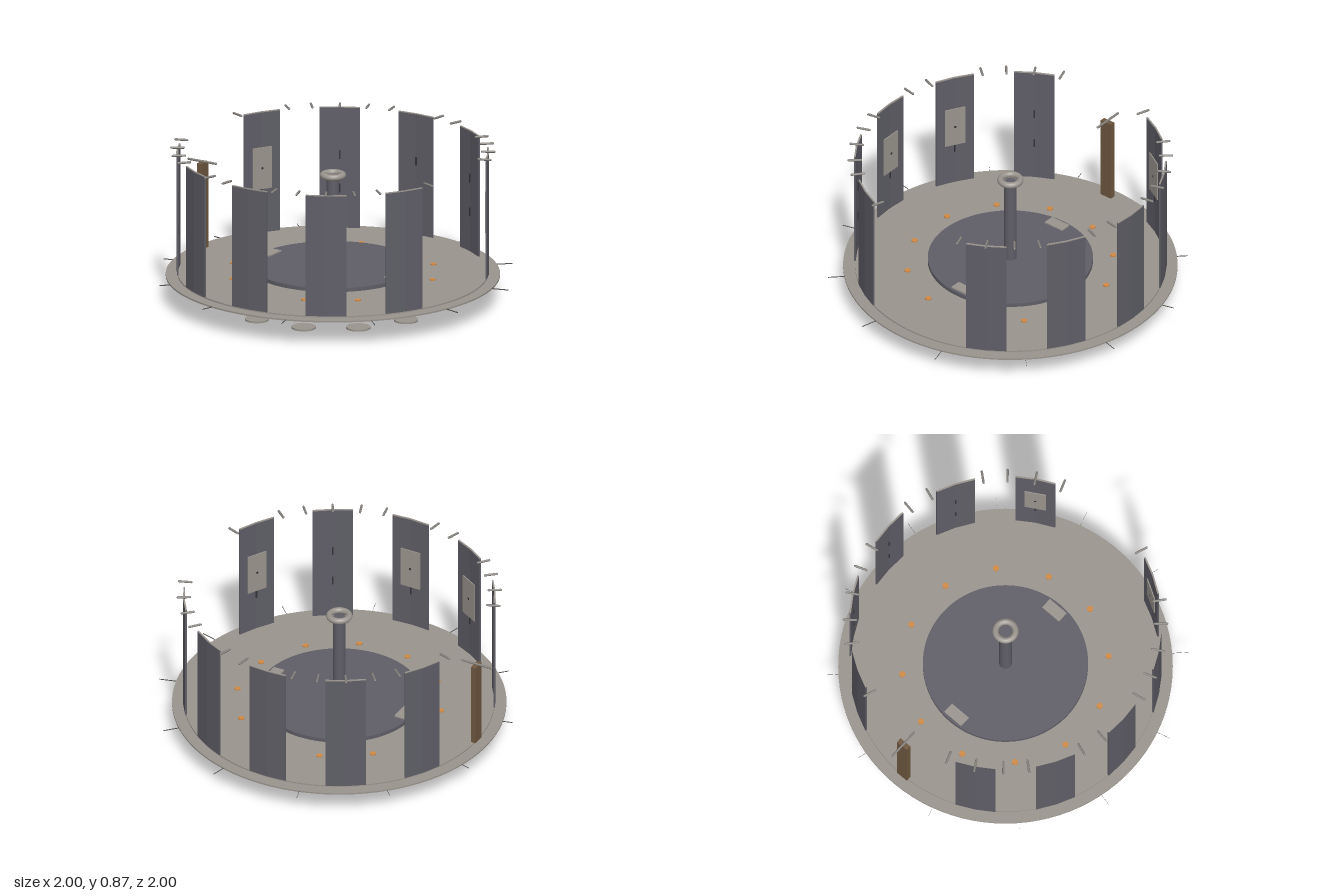
import * as THREE from 'three';

const mat = (name, color, side = THREE.FrontSide) => {
  const m = new THREE.MeshStandardMaterial({ color, side });
  m.name = name;
  return m;
};

export function createModel() {
  const stone = mat('warm grey', 0x9a948d);
  const slate = mat('slate grey', 0x5f5e67);
  const steel = mat('rod grey', 0x85817c);
  const dark = mat('dark grey', 0x333338);
  const copper = mat('copper', 0xd08a45);
  const wood = mat('brown wood', 0x6e573f);
  const blade = mat('spike grey', 0x55534f, THREE.DoubleSide);

  const model = new THREE.Group();
  model.name = 'carousel';
  const body = new THREE.Group();
  body.name = 'body';
  body.position.set(-0.005, 0, -0.02);
  model.add(body);

  const add = (parent, name, geo, material, x = 0, y = 0, z = 0) => {
    const mesh = new THREE.Mesh(geo, material);
    mesh.name = name;
    mesh.position.set(x, y, z);
    parent.add(mesh);
    return mesh;
  };
  // Upright disc or cylinder between two heights
  const disc = (parent, name, r, y0, y1, material, x = 0, z = 0, sides = 64) =>
    add(parent, name, new THREE.CylinderGeometry(r, r, y1 - y0, sides), material, x, (y0 + y1) / 2, z);
  // Group turned around the centre, so that +z points outwards
  const spoke = (name, degrees, parent = body) => {
    const g = new THREE.Group();
    g.name = name;
    g.rotation.y = THREE.MathUtils.degToRad(degrees);
    parent.add(g);
    return g;
  };

  // Floor and turntable
  disc(body, 'floorRim', 0.925, 0.14, 0.149, stone, 0, 0, 96);
  disc(body, 'floor', 0.86, 0.149, 0.157, stone, 0, 0, 96);
  disc(body, 'hub', 0.165, 0.125, 0.14, slate);
  disc(body, 'turntableBearing', 0.3, 0.157, 0.176, slate);
  disc(body, 'turntable', 0.457, 0.176, 0.198, slate, 0, 0, 96);
  for (const s of [-1, 1]) {
    const pad = add(body, 'turntablePad', new THREE.BoxGeometry(0.125, 0.008, 0.065), stone, 0.105 * s, 0.201, 0.396 * s);
    pad.rotation.y = 0.25;
  }

  // Central post with ring handle
  disc(body, 'post', 0.035, 0.198, 0.705, slate, 0, 0, 32);
  const ring = add(body, 'ringHandle', new THREE.TorusGeometry(0.055, 0.018, 16, 48), stone, 0, 0.715, 0);
  ring.rotation.x = Math.PI / 2;

  // Studs and feet
  for (let i = 0; i < 12; i++) {
    const g = spoke('footAndStud', i * 30 + 1.5);
    disc(g, 'stud', 0.017, 0.157, 0.164, copper, 0, 0.573, 20);
    disc(g, 'foot', 0.067, 0, 0.01, stone, 0, 0.583, 32);
  }

  // Wall panels: two flat facets each, meeting in the middle
  const sector = (rOut, rIn, depth) => {
    const half = THREE.MathUtils.degToRad(7.5);
    const p = (r, a) => new THREE.Vector2(r * Math.sin(a), -r * Math.cos(a));
    const shape = new THREE.Shape([
      p(rOut, -half), p(rOut, 0), p(rOut, half), p(rIn, half), p(rIn, 0), p(rIn, -half),
    ]);
    return new THREE.ExtrudeGeometry(shape, { depth, bevelEnabled: false }).rotateX(-Math.PI / 2);
  };
  const panelGeo = sector(0.865, 0.856, 0.692);
  const capGeo = sector(0.865, 0.856, 0.005);
  const rodGeo = new THREE.CapsuleGeometry(0.0065, 0.068, 4, 10).rotateX(Math.PI / 2);
  const plated = [45, 165, 255, 285, 345];
  const rodded = [45, 135, 225, 315];

  for (let a = 45; a < 360; a += 30) {
    if (a === 195) continue;
    const g = spoke('wallPanel', a);
    add(g, 'panel', panelGeo, slate, 0, 0.157, 0);
    add(g, 'panelCap', capGeo, stone, 0, 0.849, 0);
    add(g, 'lowerSlot', new THREE.BoxGeometry(0.008, 0.05, 0.005), dark, 0, 0.385, 0.854);
    if (plated.includes(a)) {
      add(g, 'plate', new THREE.BoxGeometry(0.12, 0.24, 0.006), stone, 0, 0.53, 0.849);
      const hole = add(g, 'plateHole', new THREE.CylinderGeometry(0.007, 0.007, 0.004, 16), dark, 0, 0.53, 0.846);
      hole.rotation.x = Math.PI / 2;
    } else {
      add(g, 'upperSlot', new THREE.BoxGeometry(0.008, 0.05, 0.005), dark, 0, 0.58, 0.854);
    }
    // Radial rods above the wall
    for (const off of [-10.4, 10.4]) add(spoke('topRod', a + off), 'rod', rodGeo, steel, 0, 0.862, 0.86);
    if (rodded.includes(a)) add(g, 'middleRod', rodGeo, steel, 0, 0.862, 0.86);
  }

  // Wooden gate post with its long rod
  const gate = spoke('gatePost', 195);
  add(gate, 'plank', new THREE.BoxGeometry(0.072, 0.495, 0.03), wood, 0, 0.4045, 0.855);
  const longRod = new THREE.CapsuleGeometry(0.0065, 0.18, 4, 10).rotateX(Math.PI / 2);
  add(gate, 'longRod', longRod, steel, 0, 0.657, 0.858);

  // Thin upright spikes around the rim
  for (let i = 0; i < 12; i++) {
    const g = spoke('rimSpike', i * 30, model);
    const geo = new THREE.PlaneGeometry(0.11, 0.006).rotateY(Math.PI / 2);
    add(g, 'spike', geo, blade, 0, 0.145, 0.945);
  }

  return model;
}
